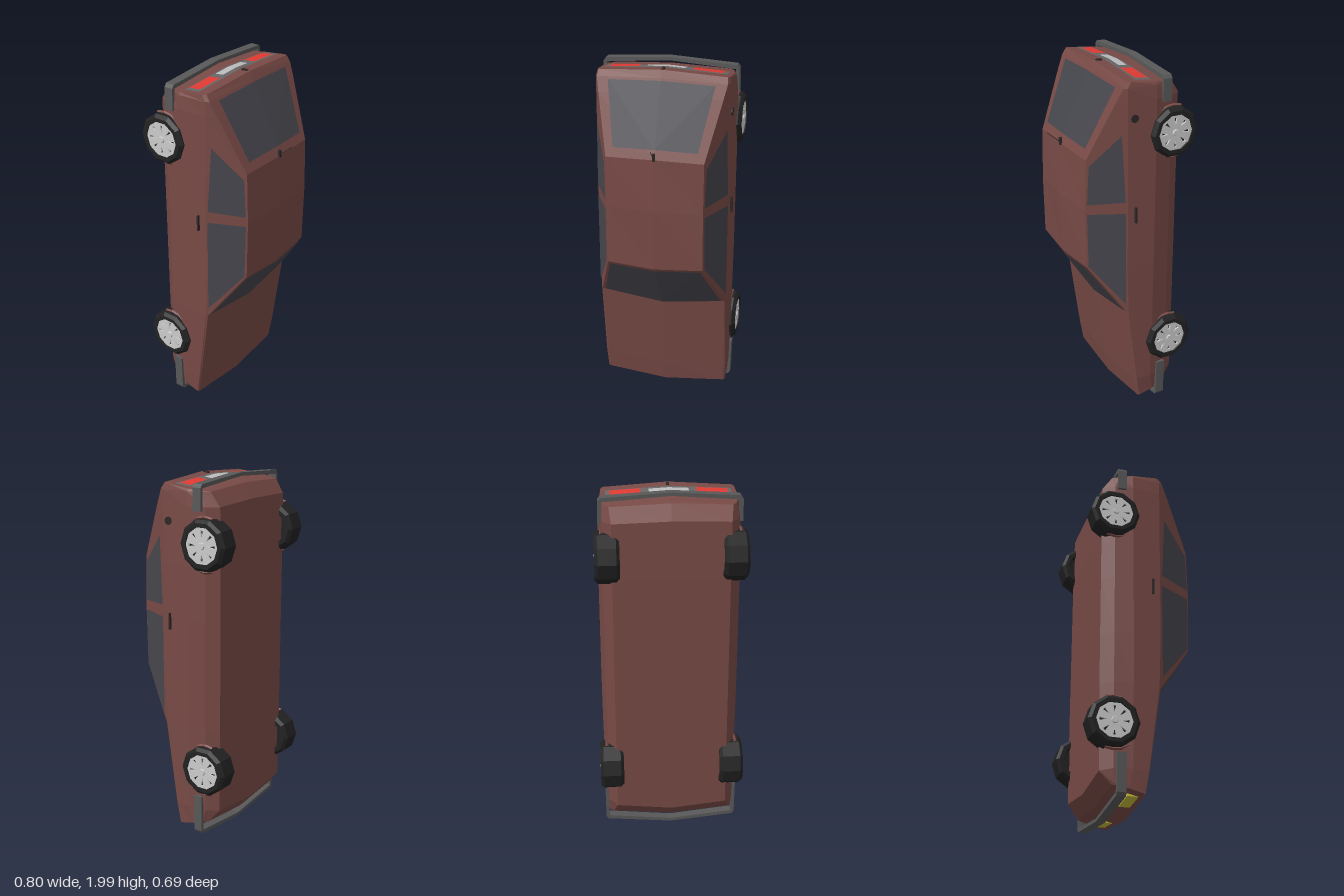
import * as THREE from 'three';

const mat = (color, side = THREE.FrontSide) =>
  new THREE.MeshStandardMaterial({ color, flatShading: true, side });
const paint = mat(0x784a46), rubber = mat(0x222222), trim = mat(0x585858), dark = mat(0x2c2827);
const alloy = mat(0xbdbdbd), lampYellow = mat(0xc8bc3c);
const glass = mat(0x46464d, THREE.DoubleSide), panelGrey = mat(0x666666, THREE.DoubleSide);
const red = mat(0xe03a32, THREE.DoubleSide), plateGrey = mat(0xbbbbbb, THREE.DoubleSide);

function add(parent, name, geometry, material) {
  const mesh = new THREE.Mesh(geometry, material);
  mesh.name = name;
  parent.add(mesh);
  return mesh;
}

function fromTriangles(tris) {
  const g = new THREE.BufferGeometry();
  g.setAttribute('position', new THREE.Float32BufferAttribute(tris.flat(2), 3));
  g.computeVertexNormals();
  return g;
}

// Flat or folded panel, fanned from its first corner
function panel(parent, name, pts, material) {
  const tris = [];
  for (let i = 1; i < pts.length - 1; i++) tris.push([pts[0], pts[i], pts[i + 1]]);
  return add(parent, name, fromTriangles(tris), material);
}

// Body stations from nose to tail:
// y, bow, slant, then half section (x, z) from sill to roof edge, then centre height
const stations = [
  [0.035, 0.035, 0.25, 0.33, -0.20, 0.35, -0.18, 0.36, -0.12, 0.36, -0.035, 0.35, -0.03, -0.025],
  [0.15, 0.04, 0, 0.31, -0.262, 0.355, -0.2, 0.37, -0.1, 0.365, -0.015, 0.355, -0.01, -0.003],
  [0.61, 0.045, 0, 0.31, -0.265, 0.357, -0.2, 0.378, -0.1, 0.367, 0.045, 0.36, 0.055, 0.062],
  [0.92, 0.02, 0, 0.31, -0.265, 0.357, -0.2, 0.38, -0.1, 0.367, 0.055, 0.265, 0.25, 0.263],
  [1.27, 0, 0, 0.31, -0.265, 0.357, -0.2, 0.38, -0.1, 0.367, 0.055, 0.265, 0.257, 0.278],
  [1.56, -0.01, 0, 0.31, -0.265, 0.357, -0.2, 0.38, -0.1, 0.365, 0.058, 0.265, 0.25, 0.265],
  [1.87, -0.01, 0, 0.31, -0.262, 0.355, -0.2, 0.375, -0.1, 0.362, 0.06, 0.334, 0.115, 0.127],
  [1.95, -0.015, 0, 0.32, -0.21, 0.345, -0.17, 0.368, -0.1, 0.36, 0.06, 0.35, 0.08, 0.09],
  [1.985, -0.02, -0.12, 0.33, -0.18, 0.345, -0.16, 0.36, -0.1, 0.355, 0.04, 0.345, 0.06, 0.07],
];

function ring([y, bow, slant, ...s]) {
  const half = [[0, s[1]]];
  for (let k = 0; k < 10; k += 2) half.push([s[k], s[k + 1]]);
  half.push([0, s[10]]);
  const mirrored = half.slice(1, 6).reverse().map(([x, z]) => [-x, z]);
  return [...half, ...mirrored].map(([x, z]) => [x, y + slant * (s[7] - z) + bow * Math.abs(x) / 0.37, z]);
}

function bodyGeometry(rings) {
  const tris = [], n = 12, last = rings[rings.length - 1];
  for (let i = 0; i < rings.length - 1; i++) {
    for (let j = 0; j < n; j++) {
      const k = (j + 1) % n;
      const a = rings[i][j], b = rings[i + 1][j], c = rings[i + 1][k], d = rings[i][k];
      tris.push([a, b, c], [a, c, d]);
    }
  }
  for (let j = 1; j < n - 1; j++) {
    tris.push([rings[0][0], rings[0][j], rings[0][j + 1]]);
    tris.push([last[0], last[j + 1], last[j]]);
  }
  return fromTriangles(tris);
}

const lerp = (a, b, t) => a.map((v, i) => v + (b[i] - v) * t);

// Folded glass between two stations; u is the half-width fraction
function screen(parent, name, r0, r1, v0, v1, u, lift) {
  const at = (v, side) => {
    const p = lerp(r0[6], r1[6], v), e = lerp(r0[side], r1[side], v);
    const q = side === 6 ? p : lerp(p, e, u);
    return [q[0], q[1] + lift, q[2] + 0.004];
  };
  panel(parent, name, [at(v0, 6), at(v0, 5), at(v1, 5), at(v1, 6), at(v1, 7), at(v0, 7)], glass);
}

// Bumper bar wrapping round one end
function bumper(parent, name, ySide, yCorner, yMid) {
  const s = Math.sign(ySide - yCorner), t = 0.018 * s;
  const pts = [[0.378, ySide], [0.375, yCorner + t], [0.362, yCorner], [0, yMid],
    [-0.362, yCorner], [-0.375, yCorner + t], [-0.378, ySide],
    [-0.36, ySide], [-0.356, yCorner + t * 1.2], [0, yMid + t], [0.356, yCorner + t * 1.2], [0.36, ySide]];
  const shape = new THREE.Shape(pts.map(p => new THREE.Vector2(...p)));
  const g = new THREE.ExtrudeGeometry(shape, { depth: 0.05, bevelEnabled: false });
  add(parent, name, g.translate(0, 0, -0.187), trim);
}

function wheel(name) {
  const group = new THREE.Group();
  group.name = name;
  const profile = [[0, 0.30], [0.09, 0.295], [0.098, 0.27], [0.122, 0.27], [0.139, 0.287], [0.139, 0.383],
    [0.122, 0.4], [0.1, 0.4], [0.096, 0.383], [0, 0.383]].map(p => new THREE.Vector2(...p));
  add(group, 'tyre', new THREE.LatheGeometry(profile, 10).rotateZ(-Math.PI / 2), rubber);
  // Alloy rim with slots between the spokes
  const rim = new THREE.Shape().absarc(0, 0, 0.098, 0, Math.PI * 2);
  for (let i = 0; i < 8; i++) {
    const a = i * Math.PI / 4;
    const corner = (r, d) => new THREE.Vector2(r * Math.cos(a + d), r * Math.sin(a + d));
    rim.holes.push(new THREE.Path([corner(0.04, 0), corner(0.08, -0.1), corner(0.08, 0.1)]));
  }
  const g = new THREE.ExtrudeGeometry(rim, { depth: 0.01, bevelEnabled: false, curveSegments: 10 });
  add(group, 'rim', g.rotateY(Math.PI / 2).translate(0.384, 0, 0), alloy);
  add(group, 'hubCap', new THREE.CylinderGeometry(0.016, 0.02, 0.008, 8).rotateZ(-Math.PI / 2)
    .translate(0.397, 0, 0), alloy);
  add(group, 'axle', new THREE.CylinderGeometry(0.02, 0.02, 0.3, 8).rotateZ(Math.PI / 2)
    .translate(0.15, 0, 0), dark);
  return group;
}

export function createModel() {
  const car = new THREE.Group();
  car.name = 'car';
  const rings = stations.map(ring);
  add(car, 'body', bodyGeometry(rings), paint);

  // Windscreen and rear window
  screen(car, 'windscreen', rings[2], rings[3], 0.03, 0.97, 0.95, -0.003);
  screen(car, 'rearWindow', rings[5], rings[7], 0.12, 0.96, 0.83, 0.004);

  // Side windows, door handles, wheels and arches
  const frontPane = [[0.71, 0.062], [1.255, 0.065], [1.25, 0.247], [0.94, 0.241]];
  const rearPane = [[1.32, 0.067], [1.69, 0.088], [1.52, 0.238], [1.305, 0.246]];
  for (const s of [1, -1]) {
    const side = s > 0 ? 'left' : 'right';
    const onSide = ([y, z]) => [s * (0.3715 - (z - 0.055) * 0.517), y, z + 0.002];
    panel(car, side + 'FrontWindow', frontPane.map(onSide), glass);
    panel(car, side + 'RearWindow', rearPane.map(onSide), glass);
    add(car, side + 'DoorHandle', new THREE.BoxGeometry(0.016, 0.09, 0.009), dark)
      .position.set(s * 0.376, 1.24, 0.013);
    for (const [end, y] of [['Front', 0.43], ['Rear', 1.67]]) {
      const w = wheel(side + end + 'Wheel');
      w.position.set(0, y, -0.205);
      if (s < 0) w.rotation.y = Math.PI;
      car.add(w);
      const arch = new THREE.TorusGeometry(0.143, 0.008, 4, 12, Math.PI * 1.2)
        .rotateZ(-Math.PI * 0.1).rotateX(Math.PI / 2).rotateZ(Math.PI / 2).scale(1, 1, -1);
      // Arch opens downwards, towards -z
      const archMesh = add(car, side + end + 'Arch', new THREE.TorusGeometry(0.143, 0.008, 4, 12, Math.PI * 1.2), paint);
      arch.dispose();
      archMesh.geometry.rotateZ(-Math.PI * 0.6).rotateY(-Math.PI / 2);
      archMesh.position.set(s * 0.362, y, -0.205);
    }
    // Headlights
    const lamp = add(car, side + 'Headlight', new THREE.BoxGeometry(0.15, 0.015, 0.06), lampYellow);
    lamp.position.set(s * 0.23, 0.068, -0.082);
    lamp.rotation.z = s * 0.094;
  }

  // Bumpers
  bumper(car, 'frontBumper', 0.27, 0.045, 0.01);
  bumper(car, 'rearBumper', 1.84, 1.978, 2.0);

  // Tail panel, lamps and number plate
  const onTail = (x, z, lift) => [x, 1.985 - 0.12 * (0.04 - z) - 0.02 * Math.abs(x) / 0.37 + lift, z];
  const tailStrip = (name, x, z0, z1, lift, m) => panel(car, name,
    [[0, z0], [x, z0], [x, z1], [0, z1], [-x, z1], [-x, z0]].map(p => onTail(...p, lift)), m);
  tailStrip('tailPanel', 0.332, -0.089, 0.002, 0.003, panelGrey);
  tailStrip('numberPlate', 0.105, -0.073, -0.024, 0.006, plateGrey);
  for (const s of [1, -1]) {
    panel(car, s > 0 ? 'leftTailLight' : 'rightTailLight',
      [[0.147, -0.08], [0.31, -0.08], [0.31, -0.01], [0.147, -0.01]].map(([x, z]) => onTail(s * x, z, 0.006)), red);
  }
  add(car, 'bootLock', new THREE.BoxGeometry(0.014, 0.012, 0.034), dark).position.set(0, 1.985, 0.037);

  // Fuel cap
  add(car, 'fuelCap', new THREE.CylinderGeometry(0.022, 0.022, 0.012, 8).rotateZ(Math.PI / 2), dark)
    .position.set(0.366, 1.775, 0.022);

  // Roof aerial
  add(car, 'aerialBase', new THREE.BoxGeometry(0.014, 0.04, 0.014), dark).position.set(0, 1.575, 0.266);
  const aerial = new THREE.LineCurve3(new THREE.Vector3(0, 1.57, 0.268), new THREE.Vector3(0, 1.635, 0.343));
  add(car, 'aerial', new THREE.TubeGeometry(aerial, 1, 0.002, 5), dark);
  return car;
}
